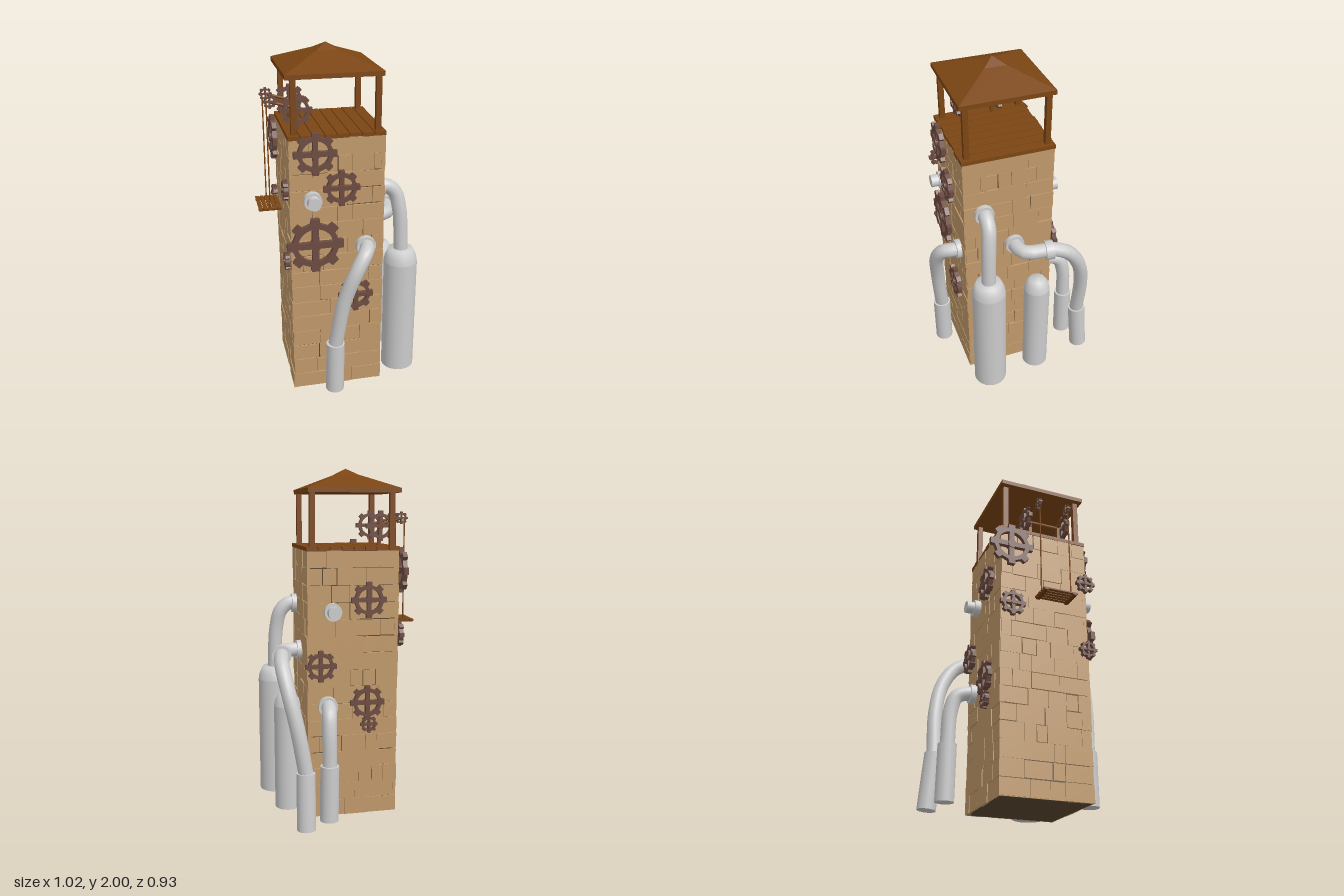
import * as THREE from 'three';
import { mergeGeometries } from 'three/addons/utils/BufferGeometryUtils.js';

const mat = (color, opts = {}) => new THREE.MeshStandardMaterial({ color, ...opts });
const stone = mat(0xc19a6b), mortar = mat(0x5a4630), wood = mat(0x7b4513), darkWood = mat(0x6b3a10);
const iron = mat(0x6d4c41), metal = mat(0xcccccc);
const roofMat = mat(0x7b4513, { flatShading: true });
const V = (x, y, z) => new THREE.Vector3(x, y, z);

function add(parent, name, geo, material, x = 0, y = 0, z = 0) {
  const m = new THREE.Mesh(geo, material);
  m.name = name;
  m.position.set(x, y, z);
  parent.add(m);
  return m;
}
const box = (w, h, d, x = 0, y = 0, z = 0) => new THREE.BoxGeometry(w, h, d).translate(x, y, z);

// Cylinder between two points
function rod(parent, name, a, b, r, material, sides = 20, r2 = r) {
  const d = b.clone().sub(a);
  const m = add(parent, name, new THREE.CylinderGeometry(r2, r, d.length(), sides), material);
  m.position.copy(a).add(b).multiplyScalar(0.5);
  m.quaternion.setFromUnitVectors(V(0, 1, 0), d.normalize());
  return m;
}

// Toothed wheel with four spokes, lying in its xy plane
function gearGeometry(R, depth = 0.026) {
  const shape = new THREE.Shape(), teeth = 8, step = Math.PI * 2 / teeth;
  for (let i = 0; i < teeth; i++) {
    [[-0.25, 0.82], [-0.19, 1], [0.19, 1], [0.25, 0.82]].forEach(([t, r], k) => {
      const a = (i + t) * step;
      shape[i + k ? 'lineTo' : 'moveTo'](Math.cos(a) * r * R, Math.sin(a) * r * R);
    });
  }
  for (let q = 0; q < 4; q++) {
    const hole = new THREE.Path(), mid = (q + 0.5) * Math.PI / 2;
    hole.absarc(0, 0, R * 0.62, mid - 0.6, mid + 0.6, false);
    hole.lineTo(Math.cos(mid) * R * 0.17, Math.sin(mid) * R * 0.17);
    hole.closePath();
    shape.holes.push(hole);
  }
  const wheel = new THREE.ExtrudeGeometry(shape, { depth, bevelEnabled: false, curveSegments: 6 }).translate(0, 0, -depth / 2);
  const hub = new THREE.CylinderGeometry(R * 0.2, R * 0.2, depth * 1.5, 12).rotateX(Math.PI / 2).toNonIndexed();
  return mergeGeometries([wheel, hub]);
}

// One wall of irregular blocks facing +z
function wallGeometry(rand, half, height) {
  const blocks = [], rows = 16, h = height / rows;
  for (let r = 0; r < rows; r++) {
    let x = -half;
    while (x < half - 0.001) {
      let w = 0.06 + rand() * 0.11;
      if (half - x - w < 0.05) w = half - x;
      const gx = rand() < 0.4 ? 0.006 : 0, gy = rand() < 0.4 ? 0.007 : 0;
      const d = 0.016 + rand() * 0.006;
      blocks.push(box(w - gx, h - gy, d, x + w / 2, (r + 0.5) * h, half - 0.018 + d / 2));
      x += w;
    }
  }
  return mergeGeometries(blocks);
}

// Bent pipe with a wall collar and an optional lower sleeve
function pipe(parent, name, pts, sleeveEnd, r = 0.042) {
  const g = new THREE.Group();
  g.name = name;
  const curve = new THREE.CatmullRomCurve3(pts.map(p => V(...p)), false, 'centripetal');
  add(g, 'pipeBend', new THREE.TubeGeometry(curve, 24, r, 14), metal);
  const dir = curve.getTangent(0);
  rod(g, 'wallCollar', curve.getPoint(0), curve.getPoint(0).addScaledVector(dir, 0.035), r + 0.014, metal);
  if (sleeveEnd) rod(g, 'sleeve', curve.getPoint(1), V(...sleeveEnd), 0.053, metal);
  parent.add(g);
  return g;
}

function tank(parent, x, z, profile) {
  const pts = profile.map(([r, y]) => new THREE.Vector2(r, y));
  add(parent, 'tank', new THREE.LatheGeometry(pts, 24), mat(0xcccccc, { flatShading: false }), x, 0, z);
}

export function createModel() {
  const model = new THREE.Group();
  model.name = 'clockworkTower';
  const tower = new THREE.Group();
  tower.name = 'tower';
  tower.position.set(-0.088, 0, -0.006);
  tower.rotation.y = -0.67;
  model.add(tower);

  let seed = 7;
  const rand = () => (seed = (seed * 16807) % 2147483647) / 2147483647;
  const half = 0.262, height = 1.545;

  // Walls with their gears [u, y, radius] and capped outlets [u, y]
  add(tower, 'core', box(0.507, height, 0.507, 0, height / 2, 0), mortar);
  add(tower, 'base', box(0.52, 0.02, 0.52, 0, 0.01, 0), stone);
  const walls = [
    { gears: [[-0.125, 1.47, 0.118], [0.017, 1.27, 0.102], [-0.13, 0.945, 0.16], [0.1, 0.61, 0.102]], outlet: [-0.14, 1.205] },
    { gears: [] },
    { gears: [[0.085, 1.27, 0.102], [-0.19, 0.9, 0.09], [0.08, 0.68, 0.1], [0.09, 0.55, 0.05]], outlet: [-0.12, 1.205] },
    { gears: [[-0.21, 1.43, 0.13], [-0.2, 1.06, 0.075], [0.25, 1.27, 0.058], [0.25, 0.85, 0.052]] },
  ];
  walls.forEach(({ gears, outlet }, i) => {
    const side = new THREE.Group();
    side.name = 'wallSide';
    side.rotation.y = i * Math.PI / 2;
    add(side, 'stoneBlocks', wallGeometry(rand, half, height), stone);
    for (const [u, y, R] of gears) {
      add(side, 'wallGear', gearGeometry(R), iron, u, y, half + 0.024);
      rod(side, 'gearAxle', V(u, y, half - 0.02), V(u, y, half + 0.02), R * 0.15, iron, 10);
    }
    if (outlet) {
      const [u, y] = outlet;
      rod(side, 'outletCollar', V(u, y, half - 0.01), V(u, y, half + 0.035), 0.05, metal);
      rod(side, 'outletStub', V(u, y, half), V(u, y, half + 0.08), 0.036, metal);
    }
    tower.add(side);
  });

  // Plank deck
  const planks = [];
  for (let i = 0; i < 8; i++) planks.push(box(0.062, 0.022, 0.536 - (i % 3) * 0.006, -0.2345 + i * 0.067, 1.554, 0));
  add(tower, 'deckPlanks', mergeGeometries(planks), wood);
  add(tower, 'deckBase', box(0.52, 0.012, 0.52, 0, 1.546, 0), darkWood);

  // Canopy posts and two-pitch roof
  for (const sx of [-1, 1]) for (const sz of [-1, 1])
    add(tower, 'canopyPost', box(0.03, 0.31, 0.03), wood, sx * 0.228, 1.715, sz * 0.228);
  const roof = new THREE.Group();
  roof.name = 'roof';
  roof.position.set(-0.01, 0, 0);
  add(roof, 'eaves', box(0.526, 0.025, 0.526), wood, 0, 1.8725, 0);
  const pitch = (name, rBottom, rTop, y0, y1) =>
    add(roof, name, new THREE.CylinderGeometry(rTop, rBottom, y1 - y0, 4, 1).rotateY(Math.PI / 4), roofMat, 0, (y0 + y1) / 2, 0);
  pitch('lowerPitch', 0.372, 0.088, 1.885, 1.965);
  pitch('upperPitch', 0.088, 0.0005, 1.965, 2.0);
  tower.add(roof);

  // Hoist: two driven gears, arms, pulleys and ropes
  const hoist = new THREE.Group();
  hoist.name = 'hoist';
  hoist.position.z = 0.033;
  rod(hoist, 'driveAxle', V(-0.2, 1.675, -0.14), V(-0.2, 1.675, 0.14), 0.011, wood, 10);
  for (const s of [-1, 1]) {
    add(hoist, 'driveGear', gearGeometry(0.088, 0.022), iron, -0.2, 1.675, s * 0.122);
    add(hoist, 'hoistPost', box(0.022, 0.13, 0.018), wood, -0.2, 1.625, s * 0.092);
    rod(hoist, 'hoistArm', V(-0.2, 1.68, s * 0.092), V(-0.335, 1.72, s * 0.092), 0.008, wood, 8);
    add(hoist, 'pulley', gearGeometry(0.036, 0.02), iron, -0.335, 1.72, s * 0.09);
    rod(hoist, 'rope', V(-0.353, 1.11, s * 0.09), V(-0.353, 1.72, s * 0.09), 0.004, wood, 6);
  }
  for (let i = 0; i < 5; i++)
    add(hoist, 'liftPlank', box(0.022, 0.008, 0.206), wood, -0.405 + i * 0.026, 1.117, 0);
  for (const s of [-1, 1])
    add(hoist, 'liftBatten', box(0.126, 0.008, 0.02), darkWood, -0.353, 1.11, s * 0.085);
  tower.add(hoist);

  // Standing tanks
  tank(model, 0.118, 0.375, [[0, 0.035], [0.098, 0.035], [0.098, 0.035], [0.098, 0.74], [0.098, 0.74], [0.092, 0.775], [0.072, 0.82], [0, 0.825]]);
  tank(model, 0.285, 0.108, [[0, 0.035], [0.077, 0.035], [0.077, 0.035], [0.077, 0.65], [0.077, 0.65], [0.068, 0.69], [0.045, 0.722], [0, 0.728]]);

  // Pipes
  pipe(model, 'tankPipe', [[0.02, 1.21, 0.27], [0.06, 1.21, 0.303], [0.098, 1.165, 0.335], [0.112, 1.06, 0.36], [0.118, 0.8, 0.375]]);
  const long = pipe(model, 'longPipe', [[0.13, 0.955, 0.13], [0.175, 0.955, 0.165], [0.24, 0.955, 0.178], [0.3, 0.955, 0.13], [0.36, 0.958, 0.075],
    [0.425, 0.92, 0.01], [0.462, 0.79, -0.07], [0.458, 0.6, -0.13], [0.428, 0.34, -0.165]], [0.447, 0.02, -0.185]);
  rod(long, 'pipeCoupling', V(0.328, 0.956, 0.105), V(0.362, 0.958, 0.073), 0.056, metal);
  pipe(model, 'frontDrain', [[-0.125, 0.91, 0.295], [-0.155, 0.91, 0.335], [-0.205, 0.895, 0.36], [-0.265, 0.81, 0.35], [-0.31, 0.63, 0.3], [-0.332, 0.34, 0.25]],
    [-0.334, 0.03, 0.245]);
  pipe(model, 'backDrain', [[0.19, 0.665, -0.12], [0.225, 0.665, -0.16], [0.265, 0.64, -0.198], [0.288, 0.55, -0.218], [0.295, 0.36, -0.225]],
    [0.3, 0.04, -0.225]);
  return model;
}
